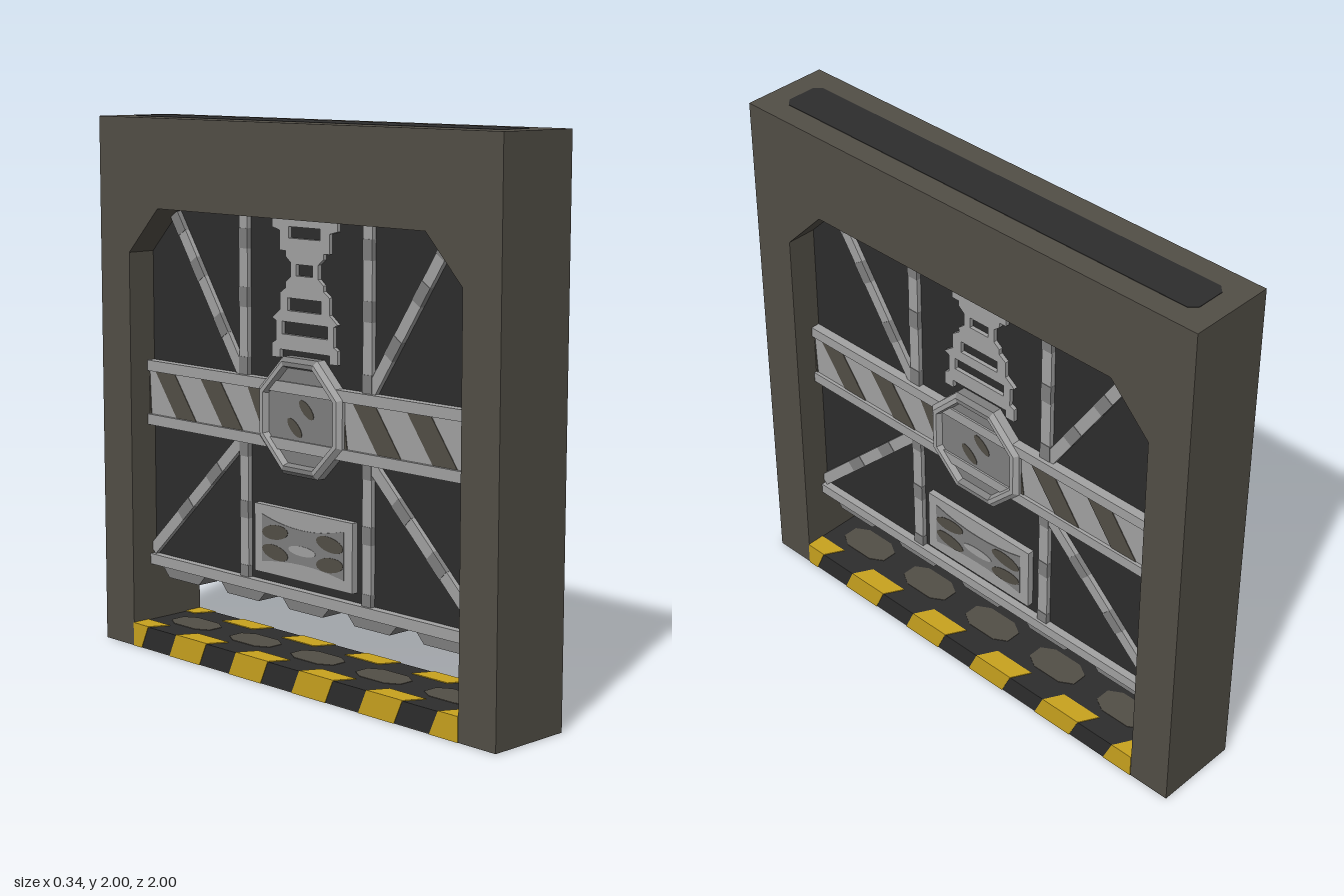
import * as THREE from 'three';

const mat = (name, color) => Object.assign(new THREE.MeshStandardMaterial({ color }), { name });

export function createModel() {
  const frameMat = mat('warm dark grey', 0x524e46);
  const black = mat('charcoal', 0x2d2d2d);
  const light = mat('light grey', 0xa2a2a2);
  const mid = mat('mid grey', 0x7f7f7f);
  const yellow = mat('hazard yellow', 0xc8a21e);

  // Local frame: u runs across the door, v up, w out of the door face.
  const add = (parent, name, geo, material, x = 0, y = 0, z = 0) => {
    const m = new THREE.Mesh(geo, material);
    m.name = name;
    m.position.set(x, y, z);
    parent.add(m);
    return m;
  };
  const poly = (pts, Type = THREE.Shape) => new Type(pts.map(p => new THREE.Vector2(...p)));
  const extrude = (shape, depth) =>
    new THREE.ExtrudeGeometry(shape, { depth, bevelEnabled: false, curveSegments: 8 });
  const box = (parent, name, material, u0, u1, v0, v1, w0, w1) =>
    add(parent, name, new THREE.BoxGeometry(u1 - u0, v1 - v0, w1 - w0), material,
      (u0 + u1) / 2, (v0 + v1) / 2, (w0 + w1) / 2);
  // Slanted stripe clipped to a span
  const stripe = (u, width, shift, v0, v1, lo, hi) => {
    const c = x => Math.min(hi, Math.max(lo, x));
    const p = [c(u), c(u + width), c(u + width + shift), c(u + shift)];
    if (p[1] - p[0] + p[2] - p[3] < 0.005) return null;
    return poly([[p[0], v0], [p[1], v0], [p[2], v1], [p[3], v1]]);
  };

  const group = new THREE.Group();
  group.name = 'blastDoor';
  const gate = new THREE.Group();
  gate.name = 'gate';
  gate.rotation.y = Math.PI / 2;
  group.add(gate);

  // Frame with a chamfered opening
  const opening = [[-0.835, 0.08], [0.835, 0.08], [0.835, 1.5], [0.67, 1.67], [-0.67, 1.67], [-0.835, 1.5]];
  const frame = poly([[-1, 0], [1, 0], [1, 1.998], [-1, 1.998]]);
  frame.holes.push(poly(opening, THREE.Path));
  add(gate, 'frame', extrude(frame, 0.33), frameMat, 0, 0, -0.165);

  // Inset strip along the top of the frame
  const a = 0.915, b = 0.08, k = 0.025;
  const strip = poly([[-a + k, -b], [a - k, -b], [a, -b + k], [a, b - k], [a - k, b], [-a + k, b], [-a, b - k], [-a, -b + k]]);
  add(gate, 'topStrip', extrude(strip, 0.004).rotateX(-Math.PI / 2), black, 0, 1.996, 0);

  // Floor sill
  box(gate, 'sill', black, -0.835, 0.835, 0.003, 0.087, -0.166, 0.166);
  for (let i = 0; i < 5; i++) {
    const u = (i - 2) * 0.332;
    const socket = poly([[u - 0.11, -0.03], [u - 0.06, -0.06], [u + 0.06, -0.06], [u + 0.11, -0.03],
      [u + 0.11, 0.03], [u + 0.06, 0.06], [u - 0.06, 0.06], [u - 0.11, 0.03]]);
    add(gate, 'sillSocket', extrude(socket, 0.003).rotateX(-Math.PI / 2), frameMat, 0, 0.086, 0);
  }

  // Door core
  const core = poly([[-0.835, 0.31], [0.835, 0.31], [0.835, 1.5], [0.67, 1.67], [-0.67, 1.67], [-0.835, 1.5]]);
  add(gate, 'doorPanel', extrude(core, 0.1), black, 0, 0, -0.05);

  // Teeth under the door
  for (let i = 0; i < 5; i++) {
    const u = (i - 2) * 0.332;
    const tooth = poly([[u - 0.085, 0.262], [u + 0.085, 0.262], [u + 0.13, 0.31], [u - 0.13, 0.31]]);
    add(gate, 'tooth', extrude(tooth, 0.12), mid, 0, 0, -0.06);
  }

  // Bar between two points with darker worn bands
  const bar = (parent, name, x0, y0, x1, y1, bands) => {
    const len = Math.hypot(x1 - x0, y1 - y0);
    const g = new THREE.Group();
    g.name = name;
    g.position.set(x0, y0, 0);
    g.rotation.z = Math.atan2(y1 - y0, x1 - x0);
    box(g, 'beam', light, 0, len, -0.022, 0.022, 0.04, 0.068);
    bands.forEach(t => box(g, 'wornBand', mid, (t - 0.06) * len, (t + 0.06) * len, -0.0225, 0.0225, 0.04, 0.07));
    parent.add(g);
  };
  const ellipse = (rx, ry, rot = 0) => new THREE.Shape().absellipse(0, 0, rx, ry, 0, Math.PI * 2, false, rot);

  const buildSide = () => {
    const s = new THREE.Group();
    s.name = 'doorSide';

    // Rails
    box(s, 'upperRail', light, -0.835, 0.835, 1.05, 1.09, 0.04, 0.085);
    box(s, 'lowerRail', light, -0.835, 0.835, 0.845, 0.885, 0.04, 0.085);
    box(s, 'bottomRail', light, -0.835, 0.835, 0.305, 0.345, 0.04, 0.08);
    box(s, 'stripedBand', light, -0.835, 0.835, 0.88, 1.055, 0.04, 0.072);
    for (const [start, lo, hi] of [[-0.8, -0.835, -0.2], [0.25, 0.2, 0.835]])
      for (let i = -1; i < 3; i++) {
        const shape = stripe(start + i * 0.257 + 0.12, 0.11, -0.12, 0.885, 1.05, lo, hi);
        if (shape) add(s, 'bandStripe', extrude(shape, 0.004), frameMat, 0, 0, 0.071);
      }

    // Upright and diagonal braces
    for (const d of [-1, 1]) {
      bar(s, 'upperUpright', d * 0.313, 1.07, d * 0.313, 1.67, [0.08, 0.5, 0.85]);
      bar(s, 'lowerUpright', d * 0.313, 0.33, d * 0.313, 0.86, [0.05, 0.5, 0.93]);
      bar(s, 'upperDiagonal', d * 0.325, 1.09, d * 0.69, 1.645, [0.3, 0.65, 0.94]);
      bar(s, 'lowerDiagonal', d * 0.325, 0.85, d * 0.835, 0.36, [0.3, 0.62]);
    }

    // Octagonal hub
    const profile = [[0.227, 0.04], [0.227, 0.085], [0.21, 0.1], [0.193, 0.1], [0.18, 0.07]]
      .map(p => new THREE.Vector2(...p));
    const indexed = new THREE.LatheGeometry(profile, 8, Math.PI / 8).rotateX(Math.PI / 2);
    const ring = indexed.toNonIndexed();
    ring.computeVertexNormals();
    const n = (profile.length - 1) * 6;
    for (let i = 0; i < 8; i++) ring.addGroup(i * n, n, i === 3 || i === 7 ? 1 : 0);
    add(s, 'hubRing', ring, [light, mid], 0, 0.97, 0);
    const disc = new THREE.CylinderGeometry(0.195, 0.195, 0.035, 8, 1, false, Math.PI / 8).rotateX(Math.PI / 2);
    add(s, 'hubFace', disc, mid, 0, 0.97, 0.0605);
    add(s, 'hubMark', extrude(ellipse(0.045, 0.02, -0.7), 0.003), frameMat, -0.035, 0.93, 0.077);
    add(s, 'hubMark', extrude(ellipse(0.045, 0.02, -0.7), 0.003), frameMat, 0.025, 1.0, 0.077);

    // Ladder-shaped lock strap above the hub
    const half = [[0.125, 1.2], [0.125, 1.17], [0.165, 1.17], [0.165, 1.22], [0.145, 1.23], [0.145, 1.3],
      [0.165, 1.31], [0.125, 1.34], [0.125, 1.4], [0.095, 1.42], [0.095, 1.44], [0.07, 1.46], [0.07, 1.51],
      [0.095, 1.53], [0.095, 1.55], [0.125, 1.55], [0.125, 1.62], [0.165, 1.63], [0.165, 1.67]];
    const strap = poly([...half, ...half.map(([u, v]) => [-u, v]).reverse()]);
    for (const [w, v0, v1] of [[0.115, 1.255, 1.3], [0.085, 1.34, 1.385], [0.042, 1.465, 1.505], [0.08, 1.595, 1.635]])
      strap.holes.push(poly([[-w, v0], [w, v0], [w, v1], [-w, v1]], THREE.Path));
    add(s, 'lockStrap', extrude(strap, 0.025), light, 0, 0, 0.04);

    // Access plate below the hub
    box(s, 'accessPlate', light, -0.25, 0.25, 0.38, 0.63, 0.04, 0.075);
    const bow = new THREE.Shape();
    bow.moveTo(-0.21, 0.42);
    bow.quadraticCurveTo(0, 0.46, 0.21, 0.42);
    bow.lineTo(0.21, 0.595);
    bow.quadraticCurveTo(0, 0.535, -0.21, 0.595);
    add(s, 'plateInset', extrude(bow, 0.003), mid, 0, 0, 0.074);
    for (const d of [-1, 1]) for (const e of [-1, 1])
      add(s, 'plateMark', extrude(ellipse(0.068, 0.027, -d * e * 0.12), 0.003), frameMat, d * 0.14, 0.5 + e * 0.037, 0.0755);
    add(s, 'plateCentre', extrude(ellipse(0.07, 0.018), 0.003), light, 0, 0.49, 0.0755);

    // Hazard stripes on the sill lip, wrapping over its top
    for (let i = -1; i < 5; i++) {
      const u = -0.626 + i * 0.333;
      const face = stripe(u, 0.17, 0.04, 0, 0.09, -0.835, 0.835);
      if (face) add(s, 'sillStripe', extrude(face, 0.003), yellow, 0, 0, 0.165);
      const top = stripe(u + 0.04, 0.17, 0.04, -0.168, -0.095, -0.835, 0.835);
      if (top) add(s, 'sillTopStripe', extrude(top, 0.004).rotateX(-Math.PI / 2), yellow, 0, 0.086, 0);
    }
    return s;
  };

  // Both faces are alike, turned half a turn
  for (const turn of [0, Math.PI]) {
    const side = buildSide();
    side.rotation.y = turn;
    gate.add(side);
  }
  return group;
}
